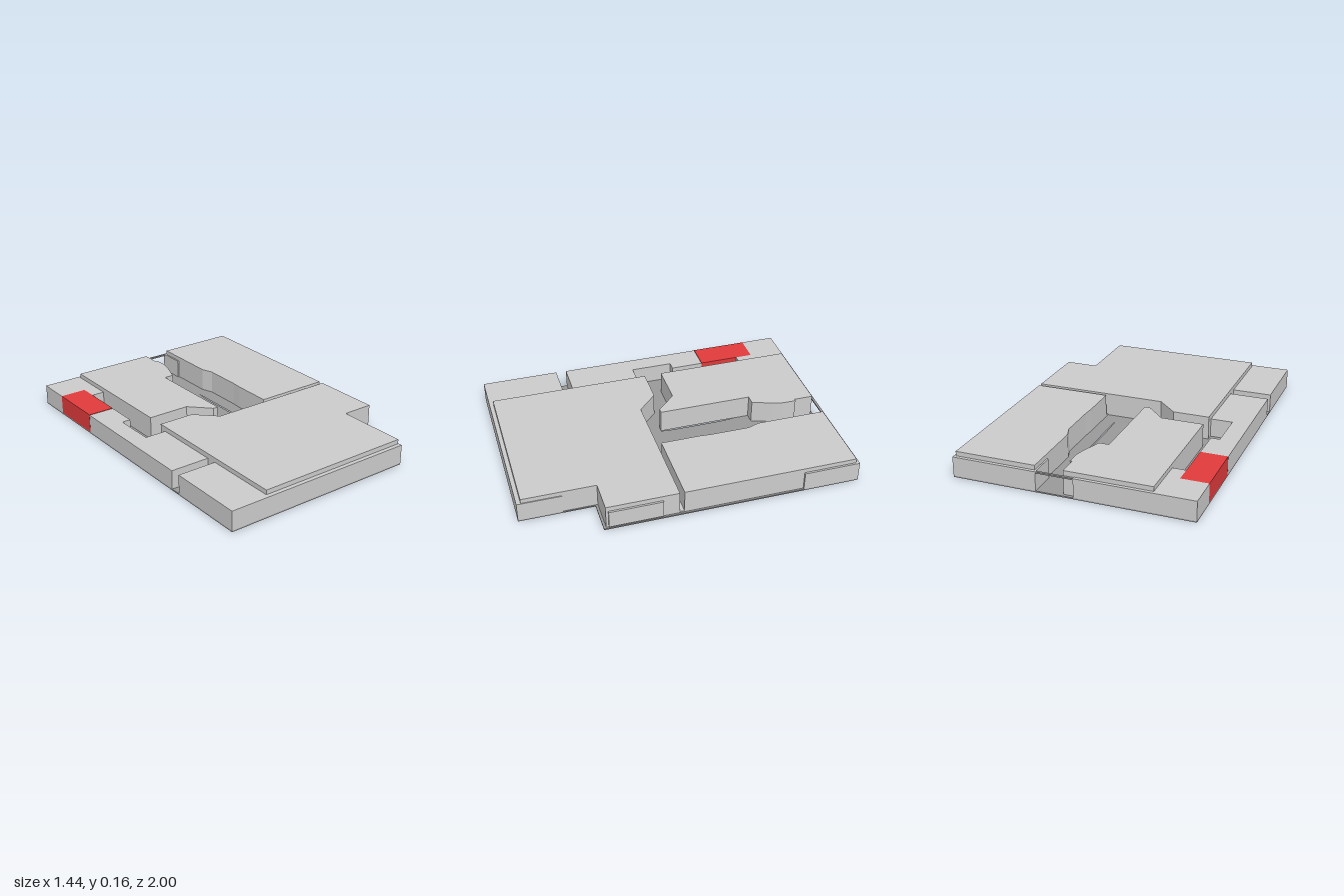
import * as THREE from 'three';

const grey = new THREE.MeshStandardMaterial({ color: 0xcccccc });
const dark = new THREE.MeshStandardMaterial({ color: 0x999999 });
const red = new THREE.MeshStandardMaterial({ color: 0xe03a3a });

const toShape = (plan) => new THREE.Shape(plan.map(([x, z]) => new THREE.Vector2(x, -z)));

export function createModel() {
  const model = new THREE.Group();

  // Raises a plan outline, given as [x, z] corners, from y0 to y1
  const block = (name, plan, y0, y1, material = grey, hole) => {
    const shape = toShape(plan);
    if (hole) shape.holes.push(toShape(hole));
    const geometry = new THREE.ExtrudeGeometry(shape, { depth: y1 - y0, bevelEnabled: false });
    geometry.rotateX(-Math.PI / 2).translate(0, y0, 0);
    const mesh = new THREE.Mesh(geometry, material);
    mesh.name = name;
    model.add(mesh);
    return mesh;
  };
  const rect = (x0, x1, z0, z1) => [[x0, z0], [x1, z0], [x1, z1], [x0, z1]];

  const FLOOR = 0.01, LOW = 0.127, HIGH = 0.155;

  // Base plate with one cut corner and an opening for the sunken court
  block('basePlate',
    [[-0.72, -1], [0.717, -1], [0.717, 0.55], [0.51, 0.55], [0.51, 1], [-0.72, 1]],
    0.002, FLOOR, dark, rect(-0.06, 0.15, -0.5, 0.01));

  // Sunken court: flat floor with a shallow ramp at each end
  block('courtFloor', rect(-0.06, 0.15, -0.4, -0.09), 0, 0.003, dark);
  for (const [name, outer, inner] of [['backRamp', -0.5, -0.4], ['frontRamp', 0.01, -0.09]]) {
    const ramp = block(name, rect(-0.06, 0.15, Math.min(outer, inner), Math.max(outer, inner)), 0.002, FLOOR, dark);
    const p = ramp.geometry.attributes.position;
    for (let i = 0; i < p.count; i++)
      if (p.getY(i) > 0.005 && Math.abs(p.getZ(i) - inner) < 0.01) p.setY(i, 0.003);
    ramp.geometry.computeVertexNormals();
  }

  // Back right building, facing the winding street
  const streetRight = [
    [0.045, -0.98], [0.045, -0.86], [0.06, -0.86], [0.06, -0.78], [0.045, -0.715], [0, -0.59],
    [-0.06, -0.59], [-0.06, -0.01], [-0.093, -0.01], [-0.21, -0.13], [-0.475, -0.13],
  ];
  block('backRightLowerStorey',
    [[-0.72, -1], [-0.02, -1], [-0.02, -0.98], ...streetRight,
      [-0.475, -0.685], [-0.555, -0.685], [-0.555, -0.79], [-0.72, -0.79]], FLOOR, LOW);
  block('backRightUpperStorey', [[-0.475, -0.98], ...streetRight], LOW, HIGH);

  // Back left building, across the street
  const streetLeft = [
    [0.705, 0.075], [0.235, 0.075], [0.235, -0.17], [0.24, -0.24], [0.24, -0.48], [0.215, -0.55],
  ];
  block('backLeftLowerStorey',
    [[0.705, -0.655], ...streetLeft, [0.215, -0.83], [0.205, -0.83], [0.205, -1], [0.717, -1], [0.717, -0.655]],
    FLOOR, LOW);
  block('backLeftUpperStorey', [[0.705, -0.98], ...streetLeft, [0.215, -0.98]], LOW, HIGH);

  // Front building, with its cut corner
  const frontEdge = [
    [-0.475, -0.02], [-0.25, -0.02], [-0.125, 0.103], [0.705, 0.103], [0.705, 0.535], [0.505, 0.535],
  ];
  block('frontLowerStorey',
    [...frontEdge, [0.505, 0.74], [0.51, 0.74], [0.51, 1], [-0.72, 1], [-0.72, 0.52], [-0.475, 0.52]],
    FLOOR, LOW);
  block('frontUpperStorey', [...frontEdge, [0.505, 0.975], [-0.475, 0.975]], LOW, HIGH);
  block('sideBay', rect(0.705, 0.717, 0.2, 0.52), 0.018, 0.125);

  // Narrow alley floor between the left and front buildings
  block('alleyFloor', rect(0.235, 0.705, 0.075, 0.103), FLOOR, 0.018);

  // Low wing along the right side, and the red unit behind it
  block('rightWing',
    [[-0.72, -0.438], [-0.555, -0.438], [-0.555, -0.235], [-0.61, -0.235], [-0.61, 0.025],
      [-0.475, 0.025], [-0.475, 0.455], [-0.72, 0.455]], FLOOR, LOW - 0.002);
  block('redUnit', rect(-0.72, -0.555, -0.79, -0.44), FLOOR, LOW, red);

  // Thin beam over the street entrance at the back
  block('entranceBeam', rect(-0.02, 0.205, -1, -0.985), 0.118, LOW, dark);

  return model;
}
